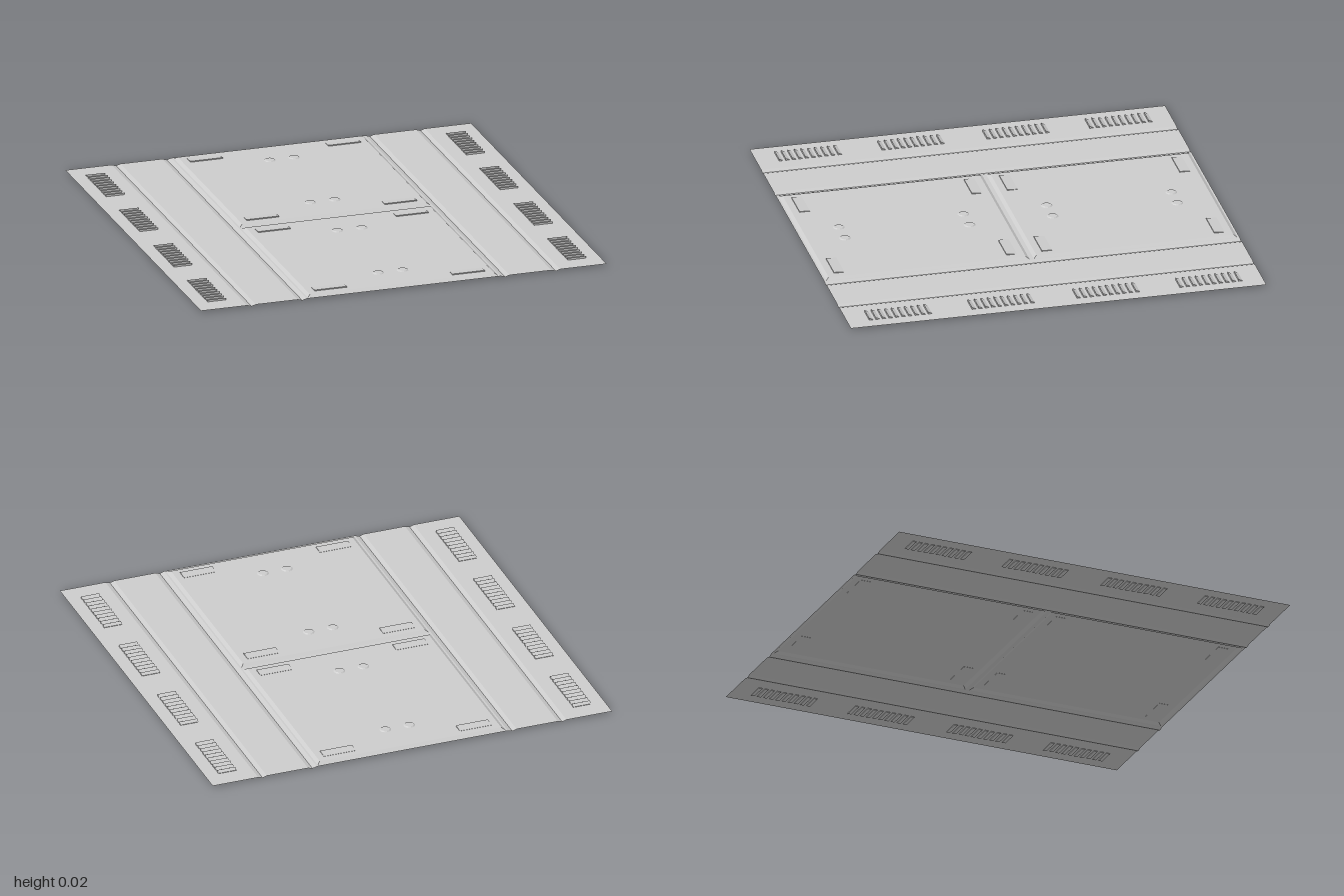
import * as THREE from 'three';

const material = new THREE.MeshStandardMaterial({ color: 0xcccccc, flatShading: true, side: THREE.DoubleSide });
const FLOOR = 0.007, PLATE_TOP = 0.017;

function add(parent, name, geometry, x = 0, y = 0, z = 0) {
  const mesh = new THREE.Mesh(geometry, material);
  mesh.name = name;
  mesh.position.set(x, y, z);
  parent.add(mesh);
  return mesh;
}

// Sheet swept along z from a cross-section of [x, y] points with rising x
function sheet(profile, z0, z1) {
  const positions = [], index = [];
  profile.forEach(([x, y], i) => {
    positions.push(x, y, z0, x, y, z1);
    const a = i * 2;
    if (i < profile.length - 1) index.push(a, a + 1, a + 3, a, a + 3, a + 2);
  });
  const g = new THREE.BufferGeometry();
  g.setAttribute('position', new THREE.Float32BufferAttribute(positions, 3));
  g.setIndex(index);
  g.computeVertexNormals();
  return g;
}

// Pressed tray: box with its top drawn in and its underside left open
function tray(width, height, depth, inset) {
  const g = new THREE.BoxGeometry(width, height, depth);
  const p = g.attributes.position;
  for (let i = 0; i < p.count; i++) {
    if (p.getY(i) > 0) {
      p.setX(i, p.getX(i) - Math.sign(p.getX(i)) * inset);
      p.setZ(i, p.getZ(i) - Math.sign(p.getZ(i)) * inset);
    }
  }
  const index = Array.from(g.index.array);
  index.splice(18, 6);
  g.setIndex(index);
  g.clearGroups();
  g.translate(0, height / 2, 0);
  g.computeVertexNormals();
  return g;
}

// Bar along x from a side outline of [z, y] points
function bar(outline, length) {
  const shape = new THREE.Shape(outline.map(([z, y]) => new THREE.Vector2(-z, y)));
  const g = new THREE.ExtrudeGeometry(shape, { depth: length, bevelEnabled: false });
  g.translate(0, 0, -length / 2);
  g.rotateY(Math.PI / 2);
  return g;
}

export function createModel() {
  const model = new THREE.Group();
  model.name = 'floorPanel';

  // Side floors with V grooves
  const half = [[0.47, FLOOR], [0.478, FLOOR], [0.5, 0], [0.522, FLOOR],
    [0.728, FLOOR], [0.75, 0], [0.772, FLOOR], [1, FLOOR]];
  add(model, 'leftFloor', sheet(half, -1, 1));
  add(model, 'rightFloor', sheet(half.map(([x, y]) => [-x, y]).reverse(), -1, 1));

  // Narrow floor strips around the raised plates
  for (const [z0, z1] of [[-1, -0.99], [-0.01, 0.01], [0.99, 1]]) {
    add(model, 'floorStrip', sheet([[-0.47, FLOOR], [0.47, FLOOR]], z0, z1));
  }

  // Two raised plates with sloping pads and round studs
  const plateGeometry = tray(0.94, PLATE_TOP - FLOOR, 0.98, 0.016);
  const padGeometry = bar([[-0.025, -0.001], [0.025, -0.001], [0.025, 0.005], [-0.025, 0.001]], 0.16);
  const studGeometry = new THREE.CylinderGeometry(0.022, 0.028, 0.004, 12);
  for (const z of [-0.5, 0.5]) {
    const plate = new THREE.Group();
    plate.name = 'plate';
    plate.position.z = z;
    model.add(plate);
    add(plate, 'plateTray', plateGeometry, 0, FLOOR, 0);
    for (const sx of [-1, 1]) {
      for (const sz of [-1, 1]) {
        add(plate, 'pad', padGeometry, sx * 0.34, PLATE_TOP, sz * 0.415);
        add(plate, 'stud', studGeometry, sx * 0.06, PLATE_TOP + 0.002, sz * 0.3);
      }
    }
  }

  // Louvred grilles along both sides
  const slats = 10, pitch = 0.0315;
  const slatGeometry = bar([[-0.009, 0.004], [0.009, 0.004], [0.009, 0.017], [-0.009, 0.009]], 0.09);
  for (const x of [-0.888, 0.888]) {
    for (const z of [-0.75, -0.255, 0.25, 0.745]) {
      const grille = new THREE.Group();
      grille.name = 'grille';
      grille.position.set(x, 0, z);
      model.add(grille);
      for (let i = 0; i < slats; i++) {
        add(grille, 'slat', slatGeometry, 0, 0, (i - (slats - 1) / 2) * pitch);
      }
    }
  }
  return model;
}
